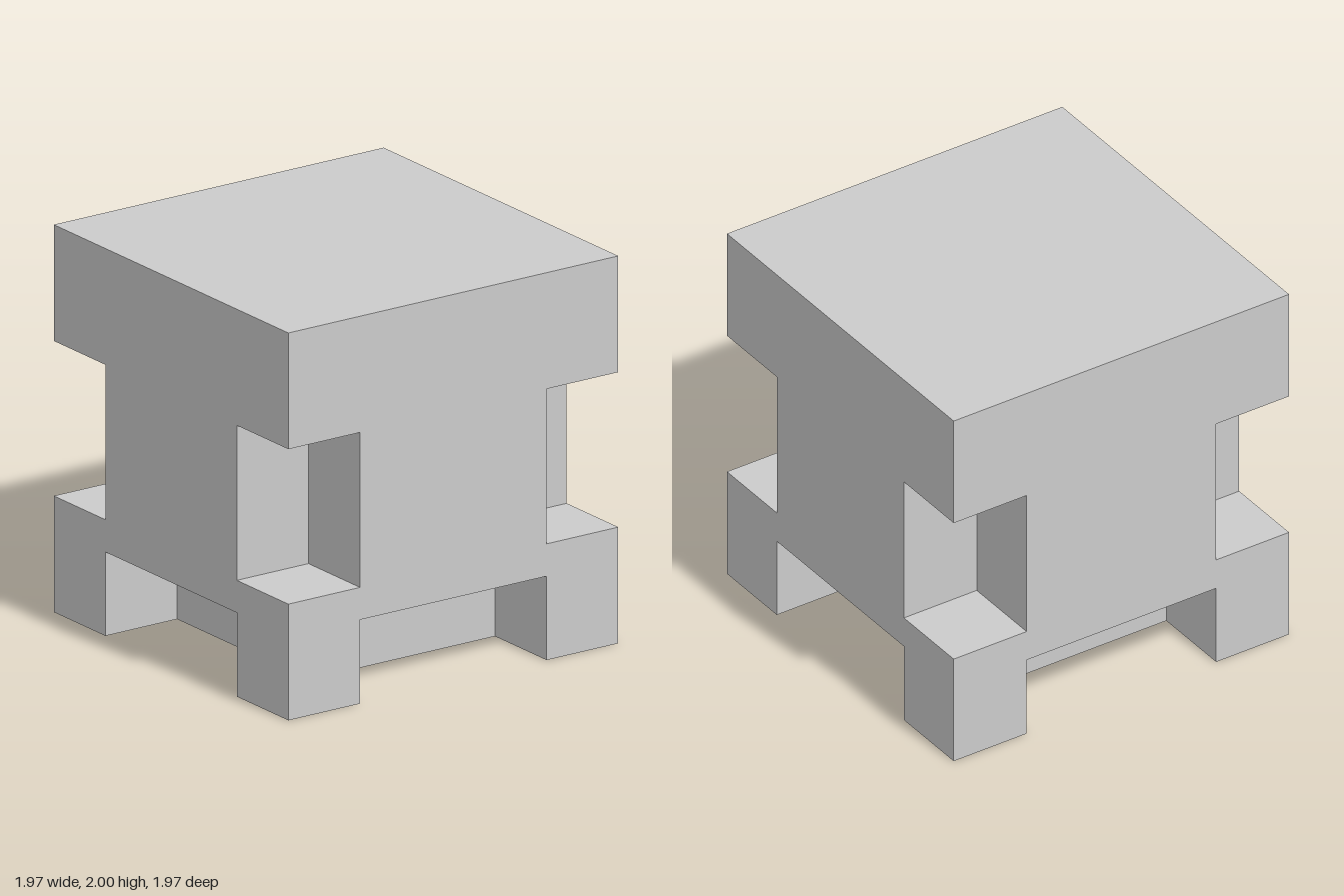
import * as THREE from 'three';
import { mergeVertices } from 'three/addons/utils/BufferGeometryUtils.js';

// Grid planes that cut the block into cells
const X = [-0.987, -0.553, 0.553, 0.987];
const Y = [0, 0.433, 0.6, 1.4, 2];
const Z = [-0.987, -0.558, 0.558, 0.987];
const CUTS = [X, Y, Z];

// Which cells are solid: four feet and a core, full slab, cross-shaped waist, full cap
function solid(i, j, k) {
  if (i < 0 || j < 0 || k < 0 || i > 2 || j > 3 || k > 2) return false;
  const corner = i !== 1 && k !== 1;
  const core = i === 1 && k === 1;
  if (j === 0) return corner || core;
  if (j === 2) return !corner;
  return true;
}

// Outer skin only: one quad wherever a solid cell meets an empty one
function skinGeometry() {
  const positions = [], normals = [];
  const addFace = (cell, axis, sign) => {
    const u = (axis + 1) % 3, v = (axis + 2) % 3;
    const corners = [[0, 0], [1, 0], [1, 1], [0, 1]].map(([a, b]) => {
      const p = [0, 0, 0];
      p[axis] = CUTS[axis][cell[axis] + (sign > 0 ? 1 : 0)];
      p[u] = CUTS[u][cell[u] + a];
      p[v] = CUTS[v][cell[v] + b];
      return p;
    });
    const order = sign > 0 ? [0, 1, 2, 0, 2, 3] : [0, 2, 1, 0, 3, 2];
    const n = [0, 0, 0];
    n[axis] = sign;
    for (const c of order) {
      positions.push(...corners[c]);
      normals.push(...n);
    }
  };
  for (let i = 0; i < 3; i++)
    for (let j = 0; j < 4; j++)
      for (let k = 0; k < 3; k++) {
        if (!solid(i, j, k)) continue;
        for (let axis = 0; axis < 3; axis++)
          for (const sign of [-1, 1]) {
            const next = [i, j, k];
            next[axis] += sign;
            if (!solid(...next)) addFace([i, j, k], axis, sign);
          }
      }
  const g = new THREE.BufferGeometry();
  g.setAttribute('position', new THREE.Float32BufferAttribute(positions, 3));
  g.setAttribute('normal', new THREE.Float32BufferAttribute(normals, 3));
  return mergeVertices(g);
}

export function createModel() {
  const group = new THREE.Group();
  group.name = 'notchedCube';
  const block = new THREE.Mesh(
    skinGeometry(),
    new THREE.MeshStandardMaterial({ color: 0xcccccc })
  );
  block.name = 'notchedBlock';
  group.add(block);
  return group;
}
